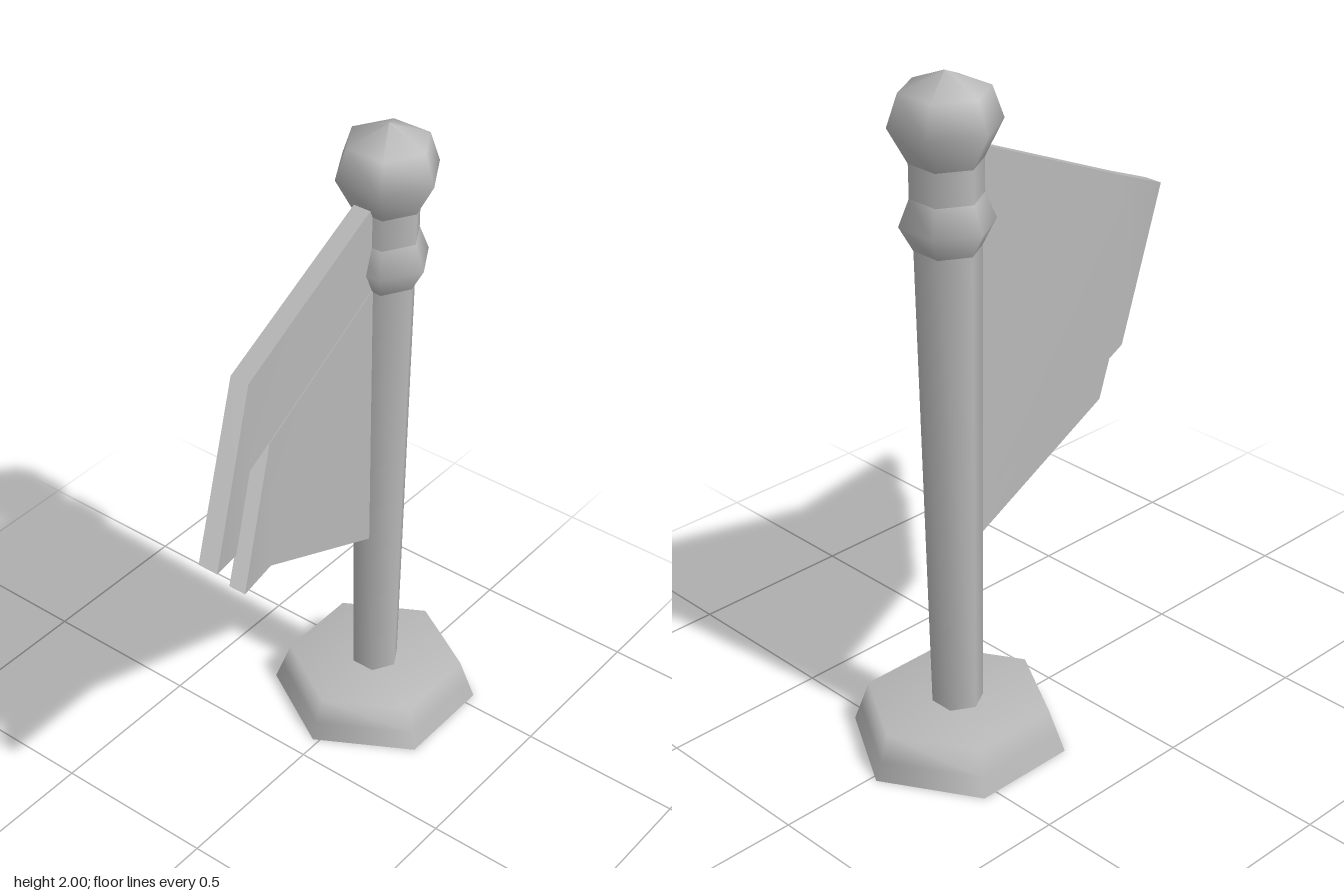
import * as THREE from 'three';

const grey = new THREE.MeshStandardMaterial({ color: 0xb8b8b8 });
grey.name = 'plain grey';

// Six-sided turned part from [radius, height] points, bottom to top
function turned(name, points) {
  const profile = points.map(([r, y]) => new THREE.Vector2(r, y));
  const mesh = new THREE.Mesh(new THREE.LatheGeometry(profile, 6), grey);
  mesh.name = name;
  return mesh;
}

// Smooth strip of faces between two rows of points
function strip(p, q) {
  const n = p.length;
  const index = [];
  for (let i = 0; i < n - 1; i++) {
    index.push(i, n + i, i + 1, n + i, n + i + 1, i + 1);
  }
  const geometry = new THREE.BufferGeometry();
  geometry.setAttribute('position', new THREE.Float32BufferAttribute([...p, ...q].flat(), 3));
  geometry.setIndex(index);
  geometry.computeVertexNormals();
  return geometry;
}

// Thick bent cloth; each station is [x, back z, front z, bottom y, top y]
function cloth(name, stations) {
  const rows = [
    stations.map(([x, , zf, yb]) => [x, yb, zf]),
    stations.map(([x, , zf, , yt]) => [x, yt, zf]),
    stations.map(([x, zb, , , yt]) => [x, yt, zb]),
    stations.map(([x, zb, , yb]) => [x, yb, zb]),
  ];
  const group = new THREE.Group();
  group.name = name;
  ['Front', 'TopEdge', 'Back', 'BottomEdge'].forEach((side, i) => {
    const mesh = new THREE.Mesh(strip(rows[i], rows[(i + 1) % 4]), grey);
    mesh.name = name + side;
    group.add(mesh);
  });
  return group;
}

export function createModel() {
  const model = new THREE.Group();
  model.name = 'flag';

  const stand = new THREE.Group();
  stand.name = 'stand';
  stand.position.set(0.386, 0, -0.019);
  model.add(stand);

  // Hexagonal foot, corners pointing sideways
  const foot = new THREE.Group();
  foot.name = 'foot';
  foot.rotation.y = Math.PI / 6;
  foot.add(
    turned('footUnderside', [[0, 0], [0.315, 0]]),
    turned('footBody', [[0.315, 0], [0.295, 0.055], [0.268, 0.13], [0, 0.13]])
  );
  stand.add(foot);

  // Pole widening towards the collar, then the knob
  stand.add(
    turned('pole', [[0.074, 0.12], [0.092, 1.52]]),
    turned('collar', [[0.092, 1.52], [0.13, 1.59], [0.1, 1.665]]),
    turned('neck', [[0.1, 1.665], [0.1, 1.76]]),
    turned('knob', [[0.1, 1.76], [0.153, 1.86], [0.122, 1.95], [0, 2]])
  );

  // Two overlapping pennants, bent forward at the middle
  model.add(
    cloth('upperPennant', [
      [0.35, -0.06, -0.005, 0.74, 1.812],
      [-0.265, -0.03, 0.03, 1.025, 1.54],
      [-0.705, 0.23, 0.29, 1.325, 1.325],
    ]),
    cloth('lowerPennant', [
      [0.35, -0.052, -0.003, 0.634, 1.55],
      [-0.18, -0.025, 0.028, 0.88, 1.3],
      [-0.545, 0.19, 0.242, 1.13, 1.13],
    ])
  );

  return model;
}
